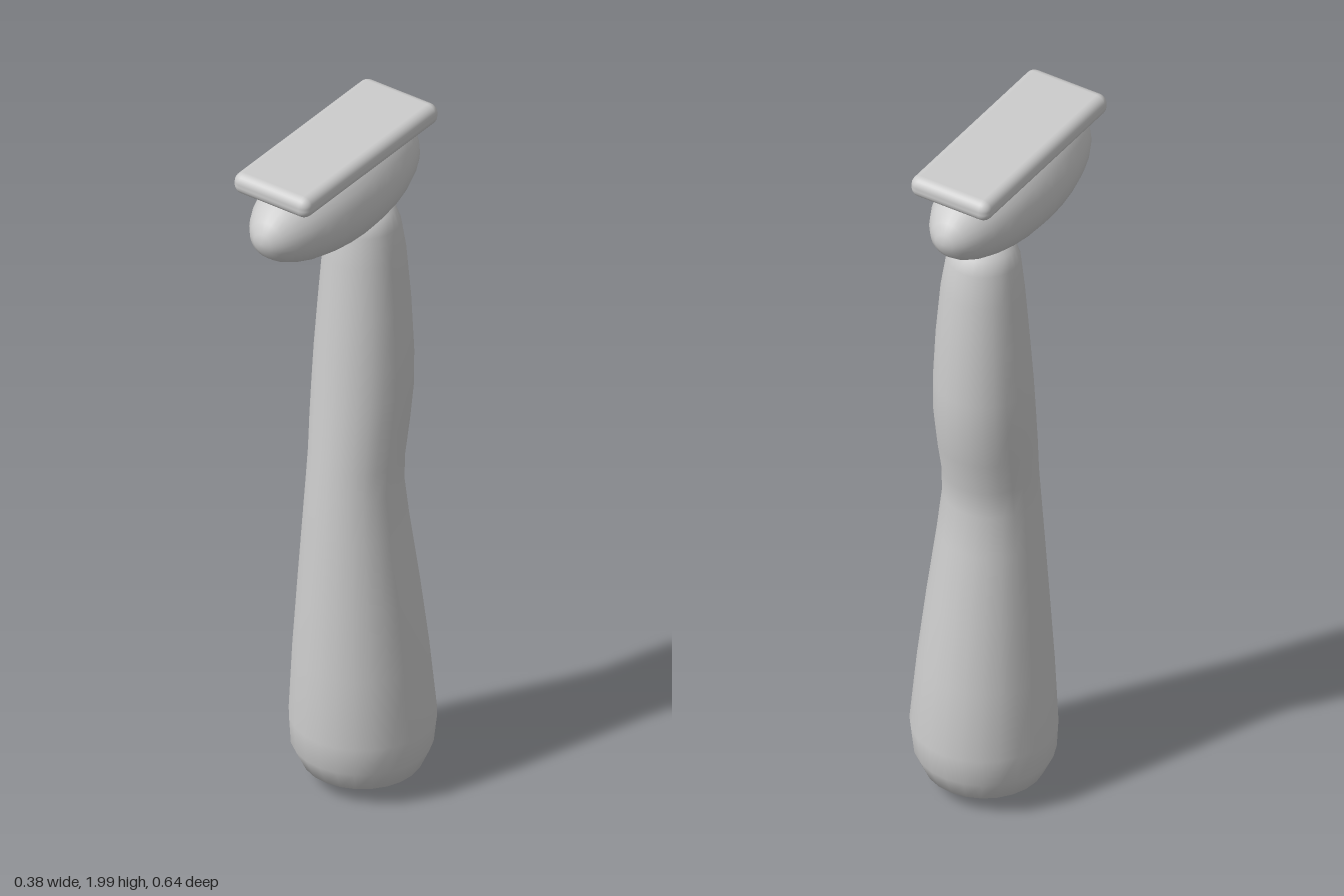
import * as THREE from 'three';
import { RoundedBoxGeometry } from 'three/addons/geometries/RoundedBoxGeometry.js';

// Closed smooth loft through elliptical rings [y, left, right, back, front]
function loft(rings, sides) {
  const pos = [], index = [];
  for (const [y, x0, x1, z0, z1] of rings) {
    for (let i = 0; i < sides; i++) {
      const a = (i / sides) * Math.PI * 2;
      pos.push((x0 + x1) / 2 + ((x1 - x0) / 2) * Math.sin(a), y, (z0 + z1) / 2 + ((z1 - z0) / 2) * Math.cos(a));
    }
  }
  const n = rings.length;
  for (let r = 0; r < n - 1; r++) {
    for (let i = 0; i < sides; i++) {
      const j = (i + 1) % sides, a = r * sides + i, b = r * sides + j;
      index.push(a, b, b + sides, a, b + sides, a + sides);
    }
  }
  // end caps
  for (const [r, flip] of [[0, true], [n - 1, false]]) {
    const [y, x0, x1, z0, z1] = rings[r];
    const c = pos.length / 3;
    pos.push((x0 + x1) / 2, y, (z0 + z1) / 2);
    for (let i = 0; i < sides; i++) {
      const a = r * sides + i, b = r * sides + (i + 1) % sides;
      if (flip) index.push(c, b, a);
      else index.push(c, a, b);
    }
  }
  const geo = new THREE.BufferGeometry();
  geo.setAttribute('position', new THREE.Float32BufferAttribute(pos, 3));
  geo.setIndex(index);
  geo.computeVertexNormals();
  return geo;
}

export function createModel() {
  const group = new THREE.Group();
  const grey = new THREE.MeshStandardMaterial({ color: 0xcccccc });
  grey.name = 'plain grey';

  const add = (name, geo, x = 0, y = 0, z = 0) => {
    const mesh = new THREE.Mesh(geo, grey);
    mesh.name = name;
    mesh.position.set(x, y, z);
    group.add(mesh);
    return mesh;
  };

  // Handle: rounded base, narrowed grip and a bulge at the back below the head
  add('handle', loft([
    [0.01, -0.04, 0.04, -0.15, -0.07],
    [0.025, -0.1, 0.1, -0.21, -0.01],
    [0.06, -0.16, 0.155, -0.265, 0.05],
    [0.12, -0.188, 0.182, -0.292, 0.078],
    [0.2, -0.192, 0.19, -0.301, 0.085],
    [0.4, -0.179, 0.174, -0.28, 0.077],
    [0.6, -0.163, 0.153, -0.255, 0.064],
    [0.8, -0.146, 0.13, -0.226, 0.05],
    [0.92, -0.138, 0.117, -0.213, 0.039],
    [1.0, -0.136, 0.115, -0.219, 0.032],
    [1.1, -0.141, 0.118, -0.24, 0.022],
    [1.2, -0.143, 0.121, -0.254, 0.012],
    [1.3, -0.141, 0.119, -0.256, 0.003],
    [1.45, -0.132, 0.111, -0.248, -0.01],
    [1.6, -0.12, 0.098, -0.236, -0.022],
    [1.69, -0.108, 0.085, -0.222, -0.03],
    [1.73, -0.094, 0.07, -0.208, -0.044],
    [1.75, -0.06, 0.036, -0.175, -0.08],
  ], 24), 0, 0, 0);

  // Rounded head, stretched front to back
  const head = new THREE.SphereGeometry(1, 24, 16);
  head.rotateX(Math.PI / 2);
  head.scale(0.137, 0.137, 0.322);
  add('head', head, -0.012, 1.847, 0);

  // Flat plate on top of the head
  add('topPlate', new RoundedBoxGeometry(0.241, 0.06, 0.588, 3, 0.026), -0.012, 1.97, -0.006);

  return group;
}
